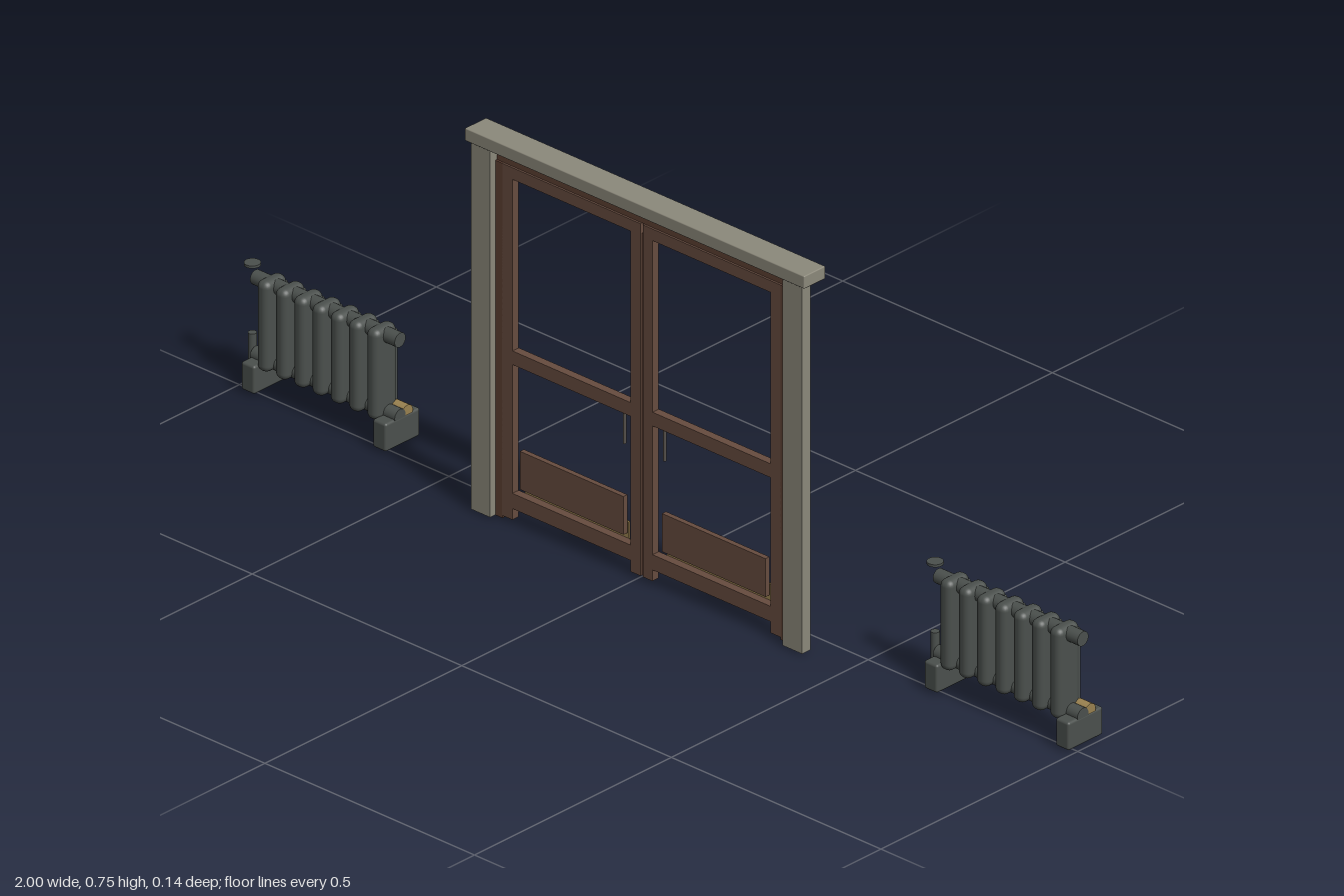
import * as THREE from 'three';
import { RoundedBoxGeometry } from 'three/addons/geometries/RoundedBoxGeometry.js';

const mat = (name, color) => {
  const m = new THREE.MeshStandardMaterial({ color });
  m.name = name;
  return m;
};

export function createModel() {
  const stone = mat('stone', 0x8c897b);
  const wood = mat('wood', 0x674c3f);
  const frameWood = mat('frame wood', 0x5e4032);
  const iron = mat('cast iron', 0x4b504d);
  const brass = mat('brass', 0x9a8250);
  const steel = mat('dark metal', 0x55504a);

  const add = (parent, name, geo, material, x = 0, y = 0, z = 0) => {
    const m = new THREE.Mesh(geo, material);
    m.name = name;
    m.position.set(x, y, z);
    parent.add(m);
    return m;
  };
  // Box given by its extents; r > 0 rounds the edges
  const block = (parent, name, material, [x0, x1], [y0, y1], [z0, z1], r = 0) => {
    const s = [x1 - x0, y1 - y0, z1 - z0];
    const geo = r ? new RoundedBoxGeometry(...s, 3, r) : new THREE.BoxGeometry(...s);
    return add(parent, name, geo, material, (x0 + x1) / 2, (y0 + y1) / 2, (z0 + z1) / 2);
  };
  const rod = (parent, name, material, r, len, axis, x, y, z) => {
    const geo = new THREE.CylinderGeometry(r, r, len, 20);
    if (axis === 'x') geo.rotateZ(Math.PI / 2);
    return add(parent, name, geo, material, x, y, z);
  };

  const model = new THREE.Group();
  model.name = 'doorwayWithRadiators';

  // Doorway, built around its own centre line
  const door = new THREE.Group();
  door.name = 'doorway';
  door.position.x = 0.01;
  model.add(door);
  block(door, 'lintel', stone, [-0.405, 0.405], [0.725, 0.75], [0.018, 0.072], 0.002);
  block(door, 'frameHead', frameWood, [-0.36, 0.36], [0.7, 0.725], [0.025, 0.05]);
  block(door, 'astragal', frameWood, [-0.005, 0.005], [0.008, 0.68], [0.036, 0.05]);

  for (const s of [-1, 1]) {
    const span = (a, b) => (s > 0 ? [a, b] : [-b, -a]);
    block(door, 'stoneJamb', stone, span(0.349, 0.395), [0.003, 0.725], [0.046, 0.067]);
    block(door, 'frameJamb', frameWood, span(0.332, 0.36), [0.003, 0.7], [0.033, 0.054]);

    // Door leaf: stiles, rails, lower panel, kick plate and pull
    const leaf = new THREE.Group();
    leaf.name = s > 0 ? 'leftLeaf' : 'rightLeaf';
    door.add(leaf);
    const zr = [0.038, 0.054];
    block(leaf, 'hingeStile', wood, span(0.308, 0.333), [0.008, 0.7], zr);
    block(leaf, 'meetingStile', wood, span(0.003, 0.026), [0.008, 0.7], zr);
    block(leaf, 'topRail', wood, span(0.026, 0.308), [0.677, 0.7], zr);
    block(leaf, 'middleRail', wood, span(0.026, 0.308), [0.313, 0.34], zr);
    block(leaf, 'bottomRail', wood, span(0.026, 0.308), [0.03, 0.06], zr);
    block(leaf, 'lowerPanel', wood, span(0.046, 0.293), [0.072, 0.147], [0.041, 0.051]);
    block(leaf, 'kickPlate', brass, span(0.046, 0.293), [0.052, 0.092], [0.034, 0.038]);
    rod(leaf, 'pullHandle', steel, 0.003, 0.075, 'y', s * 0.048, 0.287, 0.046);
  }

  // Column radiator, built around the middle of its sections
  const radiator = (name, x) => {
    const g = new THREE.Group();
    g.name = name;
    g.position.x = x;
    model.add(g);
    const zc = -0.017;
    for (let i = -3; i <= 3; i++) {
      const cx = i * 0.0436;
      block(g, 'section', iron, [cx - 0.0145, cx + 0.0145], [0.05, 0.228], [-0.044, 0.012], 0.013);
      block(g, 'rearRib', iron, [cx - 0.006, cx + 0.006], [0.065, 0.21], [-0.052, -0.04], 0.003);
    }
    // Upper and lower connecting pipes
    rod(g, 'upperPipe', iron, 0.014, 0.345, 'x', 0, 0.212, -0.019);
    rod(g, 'lowerPipe', iron, 0.014, 0.345, 'x', 0, 0.062, -0.019);
    // Feet with brass unions
    for (const s of [-1, 1]) {
      block(g, 'foot', iron, [s * 0.157 - 0.016, s * 0.157 + 0.016], [0.005, 0.06], [-0.07, 0.018], 0.005);
      rod(g, 'brassUnion', brass, 0.014, 0.03, 'x', s * 0.157, 0.063, -0.038);
    }
    // Supply pipe and hand wheel
    rod(g, 'supplyPipe', iron, 0.008, 0.1, 'y', -0.181, 0.05, -0.02);
    rod(g, 'handWheel', iron, 0.015, 0.005, 'y', -0.181, 0.235, -0.02);
  };
  radiator('rightRadiator', -0.807);
  radiator('leftRadiator', 0.822);

  return model;
}
